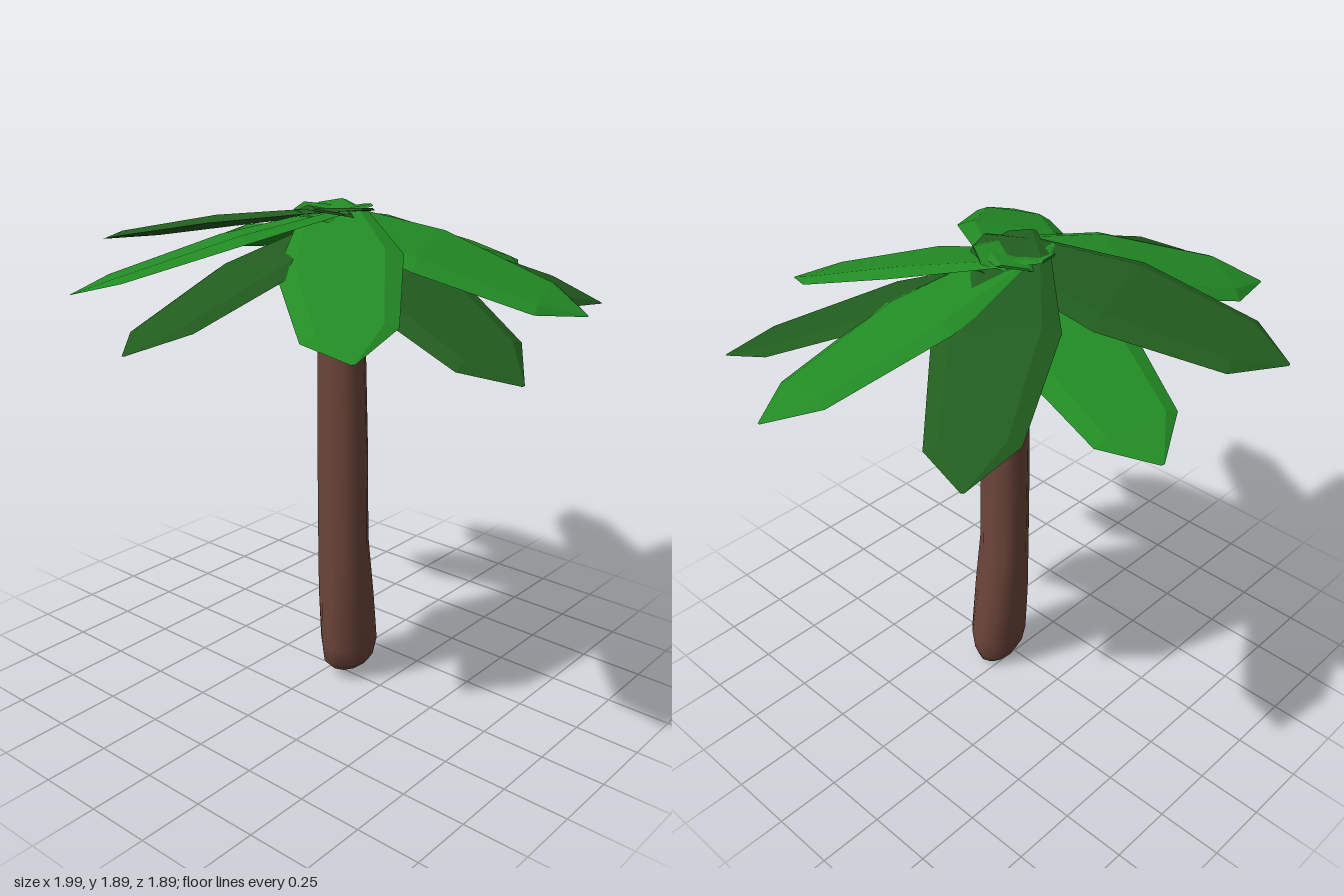
import * as THREE from 'three';

// Skin a list of equal-length point rings, closing both ends with a fan
function loft(rings) {
  const n = rings[0].length, pos = [], idx = [];
  rings.forEach(r => r.forEach(p => pos.push(p.x, p.y, p.z)));
  for (let k = 0; k < rings.length - 1; k++) {
    for (let i = 0; i < n; i++) {
      const j = (i + 1) % n, a = k * n, b = a + n;
      idx.push(a + i, a + j, b + i, a + j, b + j, b + i);
    }
  }
  const last = (rings.length - 1) * n;
  for (let i = 1; i < n - 1; i++) {
    idx.push(0, i + 1, i, last, last + i, last + i + 1);
  }
  const g = new THREE.BufferGeometry();
  g.setAttribute('position', new THREE.Float32BufferAttribute(pos, 3));
  g.setIndex(idx);
  g.computeVertexNormals();
  return g;
}

// Frond stations: fraction of length, half width
const STATIONS = [[-0.14, 0.06], [0.02, 0.13], [0.4, 0.212], [0.84, 0.15], [1, 0.006]];

// Thin drooping frond from the crown centre to its tip, rolled a little to one side
function frondGeometry(rootY, tipX, tipY, tipZ) {
  const length = Math.hypot(tipX, tipZ), dx = tipX / length, dz = tipZ / length;
  const roll = 0.15;
  return loft(STATIONS.map(([t, w]) => {
    const drop = Math.sign(t) * Math.abs(t) ** 1.25 * (rootY - tipY);
    const h = 0.07 * w;
    return [[w, -h], [0.7 * w, h], [-0.7 * w, h], [-w, -h], [0, -h]].map(([s, u]) =>
      new THREE.Vector3(t * length * dx + s * dz, rootY - drop + u + s * roll,
        t * length * dz - s * dx));
  }));
}

export function createModel() {
  const model = new THREE.Group();
  const add = (name, geometry, color, flatShading) => {
    const mesh = new THREE.Mesh(geometry,
      new THREE.MeshStandardMaterial({ color, flatShading }));
    mesh.name = name;
    model.add(mesh);
    return mesh;
  };

  // Trunk: height, centre x, centre z, radius x, radius z
  const trunk = [
    [0, 0.085, 0.04, 0.03, 0.03], [0.025, 0.05, 0.05, 0.1, 0.07],
    [0.06, 0.035, 0.058, 0.125, 0.095], [0.14, 0.033, 0.06, 0.133, 0.118],
    [0.35, 0.02, 0.055, 0.122, 0.126], [0.6, 0.003, 0.053, 0.108, 0.126],
    [1, 0, 0.05, 0.102, 0.125], [1.35, 0.005, 0.04, 0.1, 0.115],
    [1.6, 0.01, 0.03, 0.093, 0.103], [1.8, 0.015, 0.02, 0.08, 0.08]];
  // The section is an oval skewed toward one diagonal, more so higher up
  add('trunk', loft(trunk.map(([y, cx, cz, rx, rz]) => {
    const skew = 0.1 + 0.22 * Math.min(1, y / 0.6);
    return Array.from({ length: 12 }, (_, i) => {
      const a = i / 12 * Math.PI * 2;
      return new THREE.Vector3(cx + rx * Math.sin(a), y, cz + rz * Math.cos(a + skew));
    });
  })), 0x6b4439, false);

  // Faceted dark core under the fronds
  const core = new THREE.LatheGeometry([[0, -0.14], [0.06, -0.13], [0.11, -0.06],
    [0.1, 0.08], [0, 0.14]].map(p => new THREE.Vector2(...p)), 6);
  add('crownCore', core, 0x4a1c14, true).position.set(0.03, 1.69, 0.01);

  // Fronds around the crown, alternating in shade: root height, tip
  const fronds = [
    [1.865, -0.28, 1.69, -0.95], [1.81, 0.31, 1.58, -0.91],
    [1.86, 0.84, 1.6, -0.6], [1.845, 0.99, 1.56, 0.17],
    [1.8, 0.75, 1.5, 0.7], [1.85, 0.28, 1.57, 0.9],
    [1.8, -0.18, 1.44, 0.94], [1.855, -0.74, 1.59, 0.71],
    [1.81, -1, 1.54, 0], [1.86, -0.82, 1.63, -0.48]];
  fronds.forEach((f, i) =>
    add('frond' + (i + 1), frondGeometry(...f), i % 2 ? 0x228b24 : 0x215c1e, true));

  return model;
}
